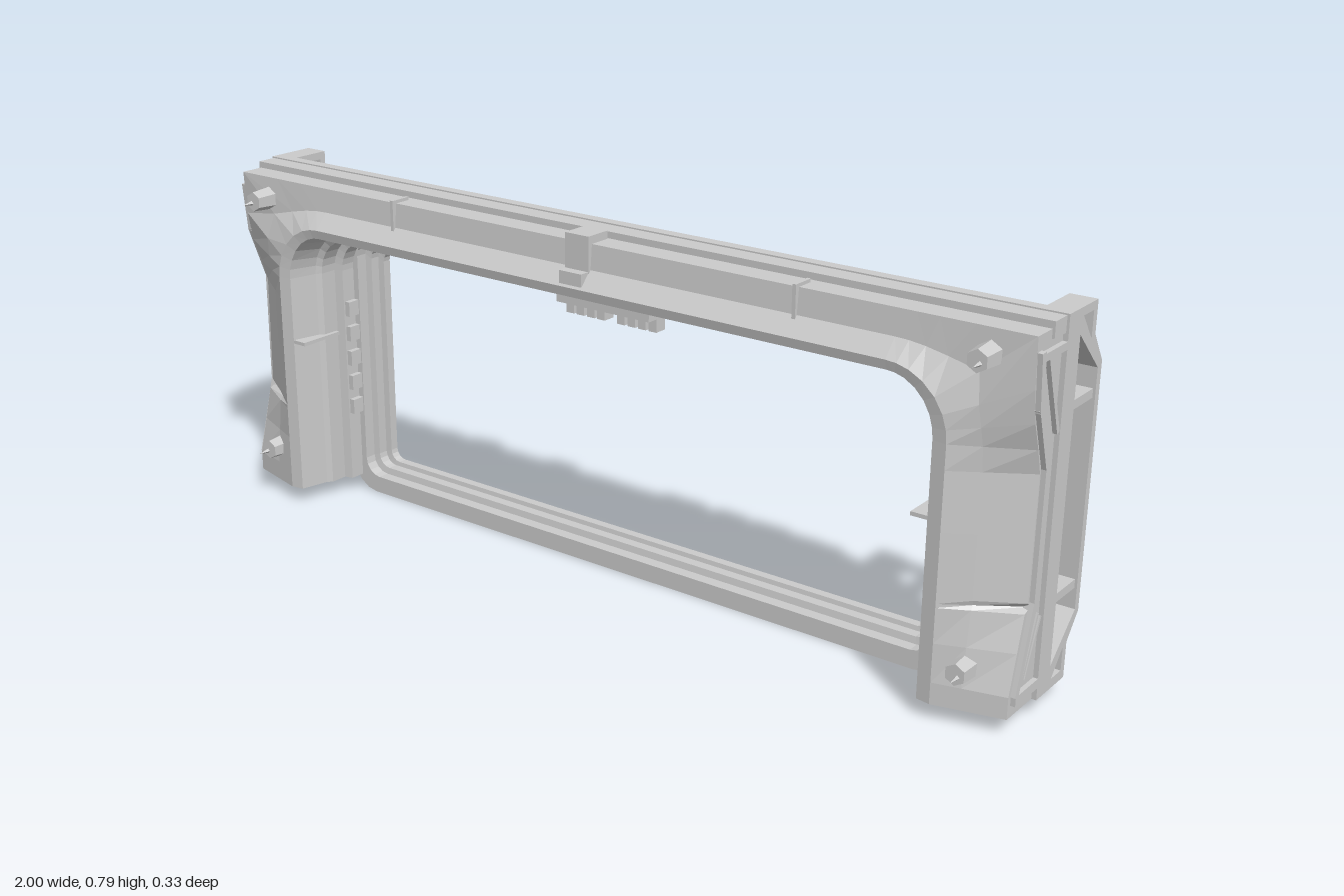
import * as THREE from 'three';

const mat = new THREE.MeshStandardMaterial({ color: 0xcccccc, flatShading: true, side: THREE.DoubleSide });

function group(parent, name) {
  const g = new THREE.Group();
  g.name = name;
  parent.add(g);
  return g;
}
function add(parent, name, geo, x = 0, y = 0, z = 0) {
  const m = new THREE.Mesh(geo, mat);
  m.name = name;
  m.position.set(x, y, z);
  parent.add(m);
  return m;
}
// box given by its extents
function box(parent, name, x0, x1, y0, y1, z0, z1) {
  return add(parent, name, new THREE.BoxGeometry(Math.abs(x1 - x0), y1 - y0, z1 - z0),
    (x0 + x1) / 2, (y0 + y1) / 2, (z0 + z1) / 2);
}
// square bar on a side face between two (z, y) points
function sideBar(parent, name, x, a, b, w, depth) {
  const dz = b[0] - a[0], dy = b[1] - a[1];
  const m = add(parent, name, new THREE.BoxGeometry(depth, Math.hypot(dz, dy) + w * 0.5, w),
    x, (a[1] + b[1]) / 2, (a[0] + b[0]) / 2);
  m.rotation.x = Math.atan2(dz, dy);
}
// skin joining equal-length loops of points, the last loop joining the first
function loft(loops, closedPath) {
  const n = loops[0].length, m = loops.length, idx = [];
  for (let j = 0; j < m; j++) {
    const k = (j + 1) % m;
    for (let i = 0; i < (closedPath ? n : n - 1); i++) {
      const p = (i + 1) % n;
      idx.push(j * n + i, k * n + i, k * n + p, j * n + i, k * n + p, j * n + p);
    }
  }
  if (!closedPath) for (const e of [0, n - 1]) {
    const section = loops.map(l => new THREE.Vector2(l[e][0], l[e][2]));
    for (const t of THREE.ShapeUtils.triangulateShape(section, [])) idx.push(...t.map(j => j * n + e));
  }
  const g = new THREE.BufferGeometry();
  g.setAttribute('position', new THREE.Float32BufferAttribute(loops.flat(2), 3));
  g.setIndex(idx);
  g.computeVertexNormals();
  return g;
}

// ---- arch paths: up one column, round the corner, over the lintel and down
const CX = 0.72, CY = 0.55, OUT = 0.99, TOP = 0.768, BASE = 0.035;
const columnY = [BASE, 0.08, 0.16, 0.232, 0.24, 0.25, 0.38, 0.5];
const corner = Math.atan2(TOP - CY, OUT - CX);
const angles = [0, 0.2, 0.42, corner, 0.95, 1.2, 1.4, Math.PI / 2];
const mirrored = h => [...h, ...h.slice().reverse().map(([x, y, z]) => [-x, y, z])];
const innerHalf = (hw, top, z) => [
  ...columnY.map(y => [hw, y, z]),
  ...angles.map(a => [CX + (hw - CX) * Math.cos(a), CY + (top - CY) * Math.sin(a), z])];
const edgeZ = [[0.035, 0.09], [0.08, 0.09], [0.232, 0.05], [0.24, 0.03], [0.25, 0.04], [0.51, 0.036], [0.63, 0.082], [0.78, 0.09]];
function outerZ(y) {
  const i = edgeZ.findIndex(e => y <= e[0]) || 1;
  const [y0, z0] = edgeZ[i - 1], [y1, z1] = edgeZ[i];
  return z0 + (z1 - z0) * (y - y0) / (y1 - y0);
}
const outerHalf = z => [
  ...columnY.map(y => [OUT, y, z ?? outerZ(y)]),
  ...angles.map(a => {
    const s = Math.min((OUT - CX) / Math.cos(a), (TOP - CY) / Math.max(Math.sin(a), 1e-6));
    const y = CY + s * Math.sin(a);
    return [CX + s * Math.cos(a), y, z ?? outerZ(y)];
  })];
// loop between lip and rim; flat above the lip of the lintel
const middle = (a, b, t) => a.map((p, i) => {
  const [x, y, z] = p.map((v, k) => v + (b[i][k] - v) * t);
  return [x, y, y > 0.68 ? 0.094 : z];
});

// closed rounded rectangle path
function ringLoop(hw, y0, y1, r, z) {
  const pts = [], cy = (y0 + y1) / 2, hh = (y1 - y0) / 2;
  for (let q = 0; q < 4; q++) for (let i = 0; i <= 4; i++) {
    const a = (q + i / 4) * Math.PI / 2;
    const sx = q === 0 || q === 3 ? 1 : -1, sy = q < 2 ? 1 : -1;
    pts.push([sx * (hw - r) + r * Math.cos(a), cy + sy * (hh - r) + r * Math.sin(a), z]);
  }
  return pts;
}

export function createModel() {
  const g = new THREE.Group();
  g.name = 'doorFrame';

  // front shell with stepped jamb and flared columns
  const lip = innerHalf(0.85, 0.68, 0.125), rim = outerHalf();
  add(g, 'archShell', loft([
    innerHalf(0.775, 0.62, -0.035), innerHalf(0.775, 0.62, 0.0), innerHalf(0.795, 0.635, 0.005),
    innerHalf(0.795, 0.635, 0.045), innerHalf(0.805, 0.65, 0.055), innerHalf(0.82, 0.66, 0.12),
    lip, middle(lip, rim, 0.4), rim, outerHalf(-0.035)].map(mirrored), false));

  // rear ring with stepped seals
  add(g, 'rearRing', loft([
    ringLoop(0.8, 0, 0.67, 0.07, -0.035), ringLoop(0.805, 0, 0.67, 0.07, -0.11),
    ringLoop(0.79, 0.015, 0.655, 0.06, -0.128), ringLoop(0.75, 0.045, 0.61, 0.04, -0.128),
    ringLoop(0.73, 0.065, 0.585, 0.025, -0.11), ringLoop(0.73, 0.065, 0.585, 0.025, -0.09),
    ringLoop(0.745, 0.055, 0.6, 0.03, -0.088), ringLoop(0.745, 0.055, 0.6, 0.03, -0.065),
    ringLoop(0.76, 0.04, 0.62, 0.04, -0.062), ringLoop(0.76, 0.04, 0.62, 0.04, -0.035)], true));

  // lintel trim
  box(g, 'topRail', -0.995, 0.995, 0.75, 0.782, -0.01, 0.035);
  box(g, 'topMiddleRail', -1, 1, 0.75, 0.785, -0.035, -0.01);
  box(g, 'topRearRail', -0.95, 0.95, 0.735, 0.775, -0.05, -0.035);
  box(g, 'centreClip', -0.03, 0.03, 0.705, 0.785, 0.04, 0.1);
  box(g, 'centreClipFoot', -0.028, 0.028, 0.685, 0.712, 0.08, 0.122);
  box(g, 'toothBar', -0.12, 0.12, 0.605, 0.625, -0.04, 0.02);
  for (const s of [-1, 1]) {
    box(g, 'lintelSeam', s * 0.506, s * 0.514, 0.69, 0.775, 0.05, 0.1);
    for (let i = 0; i < 4; i++) box(g, 'lintelTooth', s * (0.016 + i * 0.027), s * (0.036 + i * 0.027), 0.575, 0.61, -0.04, -0.01);
  }

  for (const s of [-1, 1]) {
    const side = group(g, s > 0 ? 'leftColumn' : 'rightColumn');

    // bolts with small spikes
    for (const y of [0.12, 0.72]) {
      add(side, 'bolt', new THREE.CylinderGeometry(0.022, 0.026, 0.05, 6).rotateX(Math.PI / 2), s * 0.905, y, 0.115);
      add(side, 'boltSpike', new THREE.ConeGeometry(0.007, 0.035, 4).rotateX(Math.PI / 2), s * 0.91, y - 0.004, 0.15);
    }
    // jamb seam and inner guide
    box(side, 'jambSeam', s * 0.785, s * 0.835, 0.396, 0.404, 0.01, 0.12);
    for (let i = 0; i < 5; i++) box(side, 'guideRung', s * 0.762, s * 0.78, 0.2 + i * 0.06, 0.235 + i * 0.06, -0.034, -0.004);

    // side panel edging, braces and rib
    const edge = [[0.08, 0.735], [0.07, 0.63], [0.026, 0.51], [0.028, 0.25], [0.075, 0.08]];
    for (let i = 1; i < edge.length; i++) sideBar(side, 'sideEdging', s * 0.99, edge[i - 1], edge[i], 0.014, 0.02);
    for (let i = 0; i < 3; i++) sideBar(side, 'lowerBrace', s * 0.99, [0.022 - i * 0.012, 0.23 - i * 0.01], [0.066 - i * 0.012, 0.1], 0.006, 0.016);
    sideBar(side, 'upperBrace', s * 0.99, [0.05, 0.72], [-0.005, 0.57], 0.01, 0.018);
    box(side, 'sideSill', s * 0.98, s, 0.06, 0.08, -0.01, 0.08);
    box(side, 'sideHead', s * 0.98, s, 0.72, 0.735, -0.01, 0.085);
    box(side, 'sideRib', s * 0.95, s, 0.035, 0.785, -0.035, -0.01);

    // rear bracket: outline in depth and height, with cut-outs
    const V = list => list.map(p => new THREE.Vector2(p[0], p[1]));
    const shape = new THREE.Shape(V([[0.035, 0.035], [0.125, 0.035], [0.125, 0.11], [0.166, 0.16], [0.166, 0.66], [0.125, 0.72], [0.125, 0.785], [0.035, 0.785]]));
    shape.holes.push(
      new THREE.Path(V([[0.06, 0.085], [0.06, 0.735], [0.15, 0.65], [0.15, 0.168]])),
      new THREE.Path(V([[0.068, 0.768], [0.11, 0.768], [0.11, 0.715]])),
      new THREE.Path(V([[0.068, 0.055], [0.11, 0.105], [0.11, 0.055]])));
    const bracket = new THREE.ExtrudeGeometry(shape, { depth: 0.055, bevelEnabled: false }).rotateY(Math.PI / 2);
    add(side, 'rearBracket', bracket, s > 0 ? 0.945 : -1, 0, 0);
    for (const y of [0.22, 0.6]) box(side, 'bracketRung', s * 0.955, s * 0.995, y - 0.009, y + 0.009, -0.155, -0.05);

    // rear column backing, pipes and clamps
    box(side, 'rearBacking', s * 0.78, s * 0.96, 0.04, 0.75, -0.05, -0.03);
    [[0.832, 0.695, 0.02, -0.1], [0.872, 0.725, 0.012, -0.07]].forEach(([x, top, r, z]) => {
      const path = new THREE.CurvePath();
      const pts = [[x - 0.01, 0.1, -0.04], [x, 0.15, z], [x, top - 0.08, z], [x - 0.07, top, z], [0.7, top, z], [0.67, top, -0.045]]
        .map(p => new THREE.Vector3(s * p[0], p[1], p[2]));
      for (let i = 1; i < pts.length; i++) path.add(new THREE.LineCurve3(pts[i - 1], pts[i]));
      add(side, 'rearPipe', new THREE.TubeGeometry(path, 60, r, 8));
    });
    for (const y of [0.2, 0.42]) box(side, 'pipeClamp', s * 0.81, s * 0.89, y, y + 0.025, -0.122, -0.045);
    box(side, 'rearCabinet', s * 0.895, s * 0.94, 0.15, 0.28, -0.1, -0.05);
    box(side, 'rearConduit', s * 0.9, s * 0.935, 0.28, 0.68, -0.08, -0.05);
    box(side, 'rearLatch', s * 0.795, s * 0.825, 0.35, 0.43, -0.132, -0.1);
  }

  // machinery on a tilted deck above the ring at the rear
  const gear = group(g, 'rearMachinery');
  gear.position.set(0, 0.7, -0.08);
  gear.rotation.x = -0.68;
  box(gear, 'gearDeck', -0.78, 0.78, -0.02, 0, -0.052, 0.052);
  box(gear, 'gearLedge', -0.8, 0.8, 0, 0.01, -0.05, -0.035);
  for (const [x, w, h] of [[-0.66, 0.09, 0.03], [0, 0.08, 0.034], [0.15, 0.06, 0.016], [0.38, 0.11, 0.032], [0.51, 0.08, 0.032], [0.62, 0.09, 0.028], [0.72, 0.05, 0.014]])
    box(gear, 'gearBox', x - w / 2, x + w / 2, 0, h, -0.043, 0.04);
  for (const [x, r, h] of [[-0.54, 0.035, 0.025], [-0.445, 0.035, 0.025], [-0.35, 0.035, 0.025], [-0.23, 0.048, 0.034]]) {
    add(gear, 'gearDrum', new THREE.CylinderGeometry(r, r, h, 12), x, h / 2, 0);
    add(gear, 'gearDrumCap', new THREE.CylinderGeometry(r * 0.55, r * 0.9, 0.01, 12), x, h + 0.005, 0);
  }
  for (const [z, x0, x1] of [[-0.025, 0.04, 0.34], [0, 0.18, 0.34], [0.025, 0.04, 0.34], [-0.02, -0.18, -0.04], [0.02, -0.18, -0.04], [-0.03, -0.78, -0.7]])
    add(gear, 'gearRod', new THREE.CylinderGeometry(0.01, 0.01, x1 - x0, 8).rotateZ(Math.PI / 2), (x0 + x1) / 2, 0.008, z);
  return g;
}
